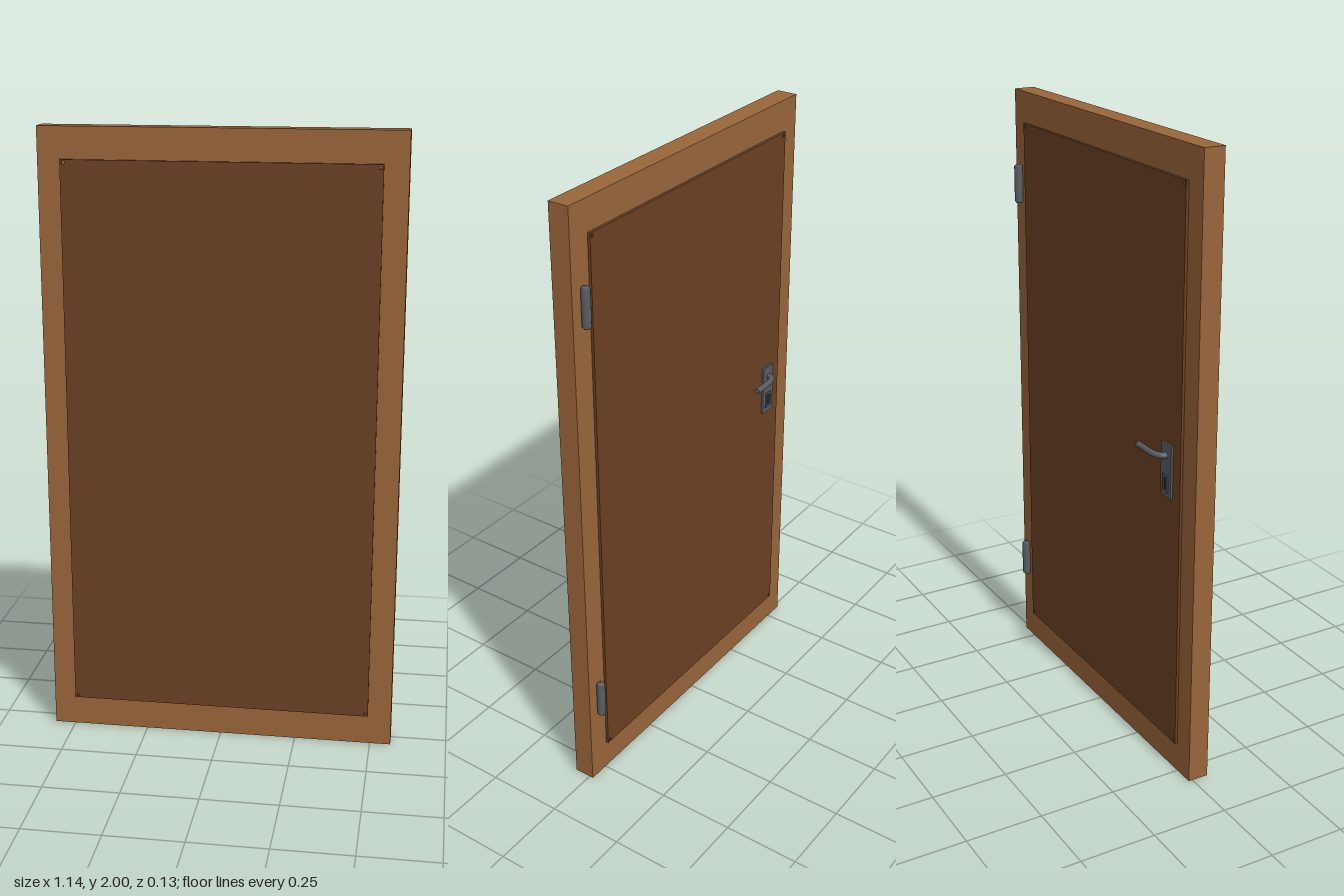
import * as THREE from 'three';

const mat = (name, color) => {
  const m = new THREE.MeshStandardMaterial({ color });
  m.name = name;
  return m;
};

export function createModel() {
  const door = new THREE.Group();
  door.name = 'door';
  const frameWood = mat('light wood', 0x99653a);
  const panelWood = mat('dark wood', 0x6b4023);
  const metal = mat('grey metal', 0x595d62);
  const dark = mat('dark keyhole', 0x2b2d30);

  const add = (name, geo, material, x = 0, y = 0, z = 0, parent = door) => {
    const m = new THREE.Mesh(geo, material);
    m.name = name;
    m.position.set(x, y, z);
    parent.add(m);
    return m;
  };
  // Rectangle outline, usable as a shape or as a hole
  const rect = (path, cx, cy, w, h) => {
    path.moveTo(cx - w / 2, cy - h / 2);
    path.lineTo(cx + w / 2, cy - h / 2);
    path.lineTo(cx + w / 2, cy + h / 2);
    path.lineTo(cx - w / 2, cy + h / 2);
    path.closePath();
    return path;
  };
  const extrude = (shape, depth) =>
    new THREE.ExtrudeGeometry(shape, { depth, bevelEnabled: false, curveSegments: 8 });

  // Door slab
  add('doorLeaf', new THREE.BoxGeometry(1.136, 2, 0.068), frameWood, 0, 1, 0.021);

  // Raised panel on each side, with a tiny notch near every corner
  const panel = rect(new THREE.Shape(), 0, 0, 0.988, 1.8);
  for (const sx of [-1, 1])
    for (const sy of [-1, 1])
      panel.holes.push(rect(new THREE.Path(), sx * 0.484, sy * 0.89, 0.009, 0.009));
  add('frontPanel', extrude(panel, 0.009), panelWood, -0.002, 1, 0.055);
  add('backPanel', extrude(panel, 0.009), panelWood, -0.002, 1, -0.022);

  // Hinge barrels with rounded ends
  for (const y of [0.315, 1.695]) {
    const hinge = new THREE.Group();
    hinge.name = y > 1 ? 'upperHinge' : 'lowerHinge';
    hinge.position.set(0.526, y, -0.027);
    door.add(hinge);
    const profile = [[0, -0.065], [0.009, -0.064], [0.014, -0.058], [0.014, 0.058], [0.009, 0.064], [0, 0.065]]
      .map(([r, h]) => new THREE.Vector2(r, h));
    add('hingeBarrel', new THREE.LatheGeometry(profile, 16), metal, 0, 0, 0, hinge);
  }

  // Lock set on the back
  const lock = new THREE.Group();
  lock.name = 'lockSet';
  lock.position.set(-0.426, 0, 0);
  door.add(lock);
  add('backplate', new THREE.BoxGeometry(0.058, 0.17, 0.007), metal, 0, 1.015, -0.0255, lock);

  // Raised frame around the keyhole
  const surround = rect(new THREE.Shape(), 0, 0, 0.028, 0.056);
  surround.holes.push(rect(new THREE.Path(), 0, 0, 0.014, 0.04));
  add('keyholeSurround', extrude(surround, 0.004), metal, 0, 0.975, -0.033, lock);
  add('keyhole', new THREE.BoxGeometry(0.014, 0.04, 0.002), dark, 0, 0.975, -0.0295, lock);

  // Bent lever handle
  const path = new THREE.CurvePath();
  const p = [[0, -0.024], [-0.001, -0.034], [0.012, -0.052], [0.04, -0.057], [0.114, -0.057]]
    .map(([x, z]) => new THREE.Vector3(x, 1.065, z));
  path.add(new THREE.LineCurve3(p[0], p[1]));
  path.add(new THREE.CubicBezierCurve3(p[1], new THREE.Vector3(0.002, 1.065, -0.046), p[2], p[3]));
  path.add(new THREE.LineCurve3(p[3], p[4]));
  add('leverHandle', new THREE.TubeGeometry(path, 30, 0.01, 12), metal, 0, 0, 0, lock);
  const cap = add('leverEnd', new THREE.CircleGeometry(0.01, 12), metal, 0.114, 1.065, -0.057, lock);
  cap.rotation.y = Math.PI / 2;

  return door;
}
